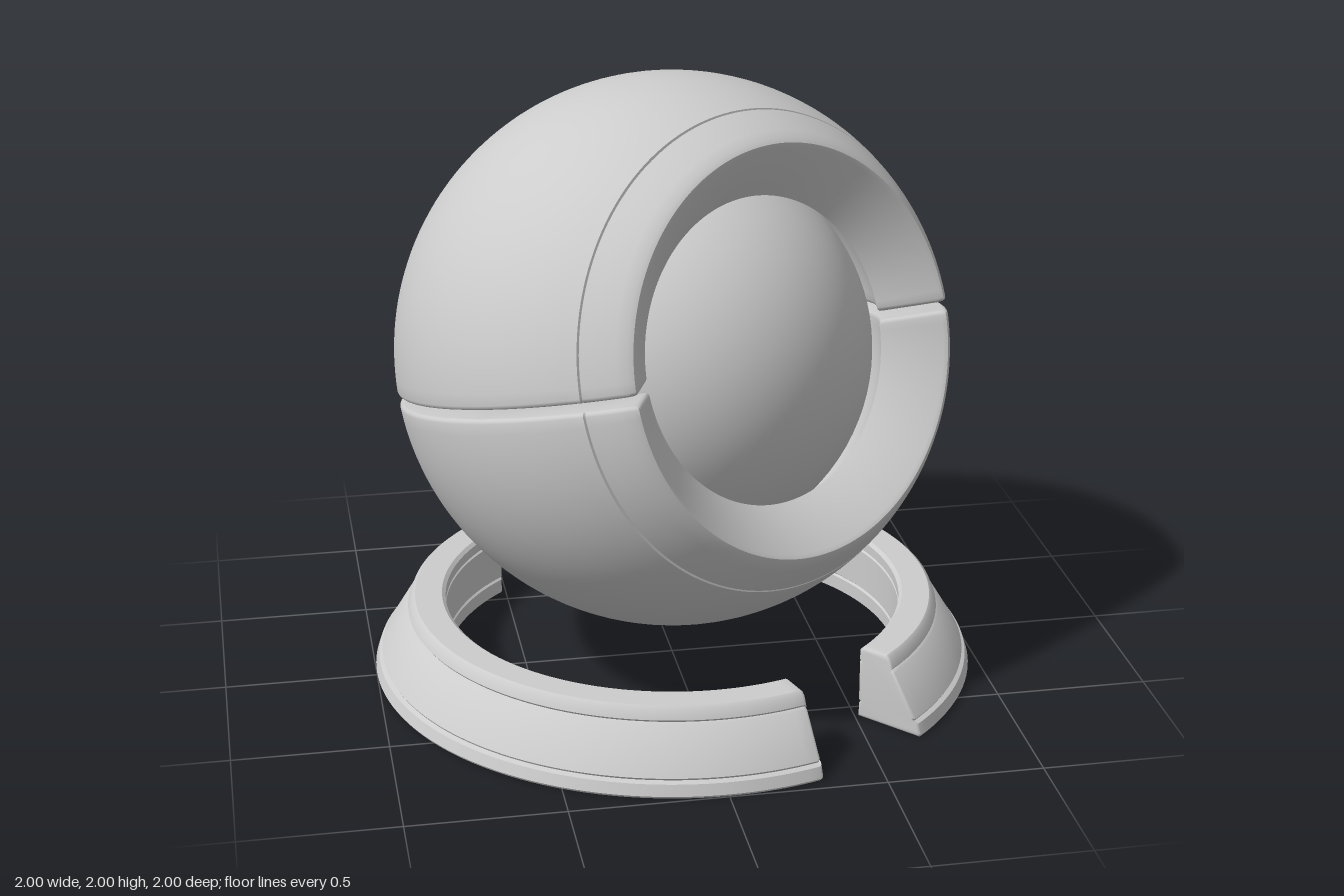
import * as THREE from 'three';
import { toCreasedNormals } from 'three/addons/utils/BufferGeometryUtils.js';

const rad = THREE.MathUtils.degToRad;
const polar = (rho, a) => new THREE.Vector2(rho * Math.sin(a), rho * Math.cos(a));

// Sweeps a closed counter-clockwise profile(inset) around y through almost half a turn.
// start: angle left open at each end, gap: extra parallel offset, bevel: rounding of the end faces.
function halfTurn(profile, start, gap, bevel, segments) {
  const rows = [];
  const addRow = (inset, h, f) => rows.push(profile(inset).map((p) => {
    const t0 = start + Math.asin(h / p.x);
    const t = t0 + (Math.PI - 2 * t0) * f;
    return [p.x * Math.cos(t), p.y, p.x * Math.sin(t)];
  }));
  const edge = [0, 30, 60].map((d) => [bevel * (1 - Math.sin(rad(d))), gap + bevel * (1 - Math.cos(rad(d)))]);
  edge.forEach(([inset, h]) => addRow(inset, h, 0));
  for (let i = 0; i <= segments; i++) addRow(0, gap + bevel, i / segments);
  edge.reverse().forEach(([inset, h]) => addRow(inset, h, 1));

  const n = rows[0].length;
  const index = [];
  for (let j = 0; j < rows.length - 1; j++) {
    for (let i = 0; i < n; i++) {
      const k = (i + 1) % n;
      const a = j * n + i, b = j * n + k, c = a + n, d = b + n;
      index.push(a, b, c, b, d, c);
    }
  }
  // Flat end faces
  const last = (rows.length - 1) * n;
  for (const [a, b, c] of THREE.ShapeUtils.triangulateShape(profile(bevel), [])) {
    index.push(a, c, b, last + a, last + b, last + c);
  }
  const geometry = new THREE.BufferGeometry();
  geometry.setAttribute('position', new THREE.Float32BufferAttribute(rows.flat(2), 3));
  geometry.setIndex(index);
  // Enlarged while creasing, so that the fine grooves are not merged
  geometry.scale(100, 100, 100);
  return toCreasedNormals(geometry, 0.6).scale(0.01, 0.01, 0.01);
}

// Thick spherical shell with a wide front opening, a smaller back one and fine panel grooves
function shellProfile(b) {
  const R = 0.9 - b, r = 0.678 + b;
  const front = rad(45.5), back = Math.PI - rad(35);
  const pts = [];
  const arc = (rho, from, to, n) => {
    for (let i = 0; i <= n; i++) pts.push(polar(rho, from + (to - from) * i / n));
  };
  const f = front + b / R, k = back - b / R;
  pts.push(polar(R - 0.02, k), polar(R - 0.006, k - 0.006));
  let from = k - 0.024;
  for (const [degrees, steps] of [[134, 4], [123, 4], [56.5, 24]]) {
    const groove = rad(degrees);
    arc(R, from, groove + 0.005, steps);
    pts.push(polar(R - 0.007, groove));
    from = groove - 0.005;
  }
  arc(R, from, f + 0.024, 4);
  pts.push(polar(R - 0.006, f + 0.006), polar(R - 0.02, f));
  arc(r, front + b / r, back - b / r, 32);
  return pts;
}

// Tapered stand section with grooves outside and inside
function standProfile(b) {
  const s = 1 - b / 0.1;
  return [
    [0.76, 0], [0.995, 0], [1, 0.008], [0.988, 0.044], [0.973, 0.051], [0.977, 0.058],
    [0.892, 0.198], [0.881, 0.203], [0.886, 0.21], [0.874, 0.24], [0.862, 0.25],
    [0.772, 0.25], [0.76, 0.24], [0.76, 0.208], [0.767, 0.203], [0.76, 0.198],
    [0.76, 0.06], [0.767, 0.054], [0.76, 0.048],
  ].map(([x, y]) => new THREE.Vector2(0.87 + (x - 0.87) * s, 0.125 + (y - 0.125) * s));
}

export function createModel() {
  const model = new THREE.Group();
  model.name = 'displayBall';
  const grey = new THREE.MeshStandardMaterial({ color: 0xcccccc });
  grey.name = 'plain grey';

  const add = (parent, name, geometry, turn = 0) => {
    const mesh = new THREE.Mesh(geometry, grey);
    mesh.name = name;
    mesh.rotation.y = turn;
    parent.add(mesh);
  };

  // Ball: its opening axis points 30 degrees to the side and 15 degrees up
  const ball = new THREE.Group();
  ball.name = 'ball';
  const tilt = rad(15), side = rad(30);
  const axis = new THREE.Vector3(Math.cos(tilt) * Math.sin(side), Math.sin(tilt), Math.cos(tilt) * Math.cos(side));
  const up = new THREE.Vector3(-Math.sin(tilt) * Math.sin(side), Math.cos(tilt), -Math.sin(tilt) * Math.cos(side));
  const across = new THREE.Vector3().crossVectors(axis, up);
  ball.quaternion.setFromRotationMatrix(new THREE.Matrix4().makeBasis(across, axis, up));
  ball.position.y = 1.1;
  const shell = halfTurn(shellProfile, 0, 0.014, 0.014, 72);
  add(ball, 'upperShell', shell);
  add(ball, 'lowerShell', shell, Math.PI);
  add(ball, 'core', new THREE.SphereGeometry(0.65, 72, 48));
  model.add(ball);

  // Stand: two curved halves with gaps in line with the openings
  const stand = new THREE.Group();
  stand.name = 'stand';
  stand.rotation.y = side - Math.PI / 2;
  const half = halfTurn(standProfile, rad(12), 0, 0.01, 72);
  add(stand, 'standHalf', half);
  add(stand, 'standOtherHalf', half, Math.PI);
  model.add(stand);

  return model;
}
